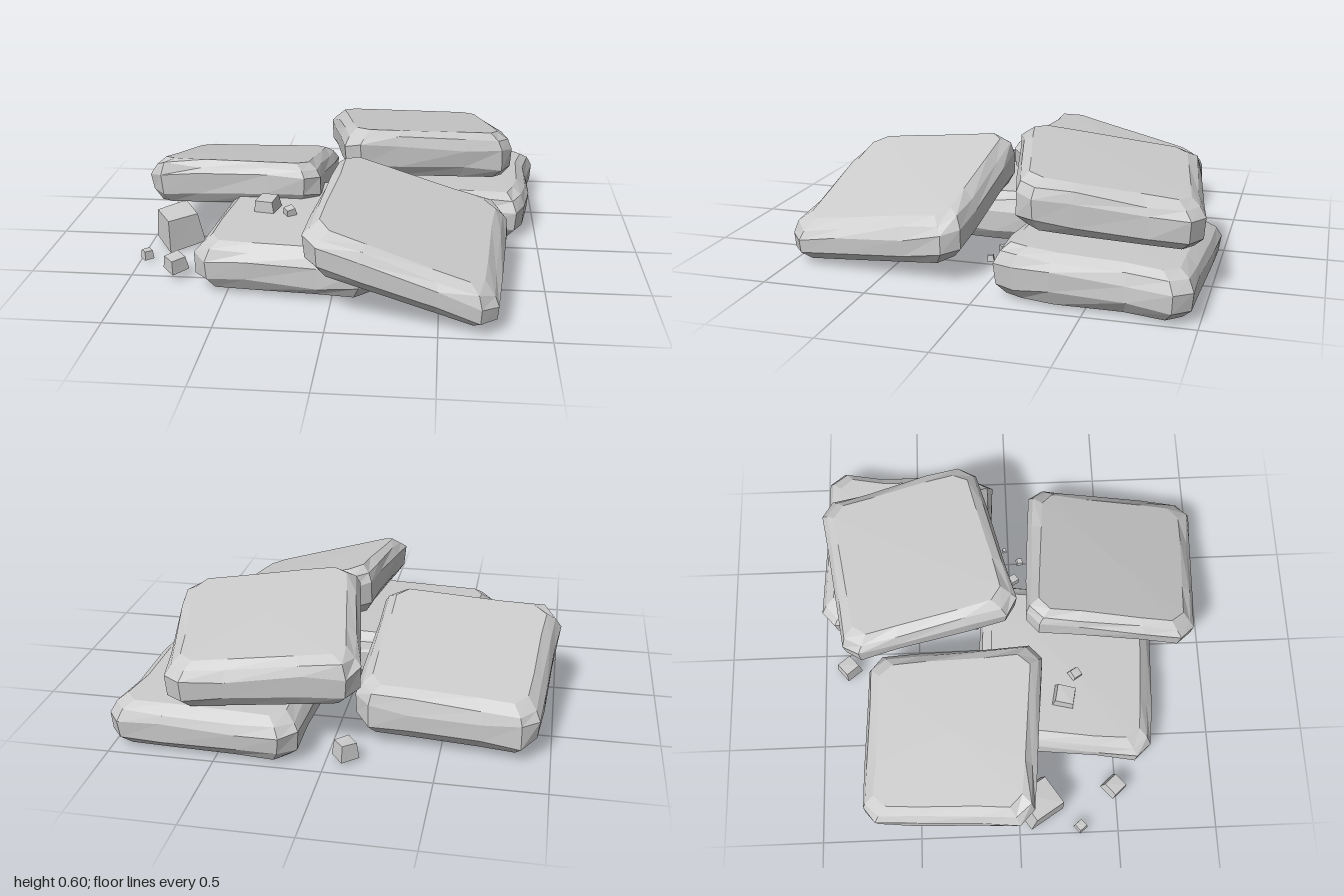
import * as THREE from 'three';

const material = new THREE.MeshStandardMaterial({ color: 0xcccccc, flatShading: true });

function seeded(seed) {
  return () => {
    seed = (seed * 16807) % 2147483647;
    return seed / 2147483647;
  };
}

// Rings of a worn block: [height fraction, inset]
const RINGS = [[0, 0.05], [0.24, 0.005], [0.66, 0], [0.86, 0.025], [1, 0.075]];
const PER_EDGE = [0.08, 0.3, 0.7, 0.92];

// Chipped slab warped between four corners [x, z, bottom, top],
// listed back right, back left, front left, front right.
// dents maps a point of the outline to an extra inset.
function slab(name, corners, seed, dents = {}) {
  const rand = seeded(seed);
  const square = [[0, 0], [1, 0], [1, 1], [0, 1]];
  const outline = [];
  for (let e = 0; e < 4; e++) {
    const a = square[e], b = square[(e + 1) % 4];
    for (const t of PER_EDGE) outline.push([a[0] + (b[0] - a[0]) * t, a[1] + (b[1] - a[1]) * t]);
  }
  const n = outline.length;

  const warp = (u, v, w) => {
    const weights = [(1 - u) * (1 - v), u * (1 - v), u * v, (1 - u) * v];
    const p = [0, 0, 0];
    corners.forEach(([x, z, low, high], i) => {
      p[0] += weights[i] * x;
      p[1] += weights[i] * (low + (high - low) * w);
      p[2] += weights[i] * z;
    });
    return p;
  };

  const positions = [];
  for (const [w, inset] of RINGS) {
    outline.forEach(([u, v], i) => {
      const k = 1 - 2 * (inset + (dents[i] || 0) + rand() * 0.012);
      const wobble = w > 0 && w < 1 ? (rand() - 0.5) * 0.12 : 0;
      positions.push(...warp(0.5 + (u - 0.5) * k, 0.5 + (v - 0.5) * k, w + wobble));
    });
  }
  const low = RINGS.length * n, high = low + 1;
  positions.push(...warp(0.5, 0.5, 0), ...warp(0.5, 0.5, 1.02));

  const index = [];
  for (let i = 0; i < n; i++) {
    const j = (i + 1) % n;
    for (let r = 0; r < RINGS.length - 1; r++) {
      const a = r * n, b = a + n;
      index.push(a + j, a + i, b + i, a + j, b + i, b + j);
    }
    const top = (RINGS.length - 1) * n;
    index.push(low, i, j, high, top + j, top + i);
  }
  return finish(name, positions, index);
}

function finish(name, positions, index) {
  const geometry = new THREE.BufferGeometry();
  geometry.setAttribute('position', new THREE.Float32BufferAttribute(positions, 3));
  geometry.setIndex(index);
  geometry.computeVertexNormals();
  const mesh = new THREE.Mesh(geometry, material);
  mesh.name = name;
  return mesh;
}

// Small broken cube, narrower towards the top
function pebble(name, x, y, z, width, height, turn, tilt = 0) {
  const geometry = new THREE.BoxGeometry(width, height, width);
  const p = geometry.attributes.position;
  for (let i = 0; i < p.count; i++) {
    const k = p.getY(i) > 0 ? 0.82 : 1;
    const skew = p.getX(i) * p.getZ(i) > 0 ? 0.94 : 1;
    p.setXYZ(i, p.getX(i) * k * skew, p.getY(i) * skew, p.getZ(i) * k);
  }
  geometry.computeVertexNormals();
  const mesh = new THREE.Mesh(geometry, material);
  mesh.name = name;
  mesh.position.set(x, y, z);
  mesh.rotation.set(tilt, turn, tilt * 0.6);
  return mesh;
}

export function createModel() {
  const group = new THREE.Group();
  group.name = 'rubblePile';

  // Large slabs leaning on each other
  group.add(
    slab('rightSlab', [
      [-0.94, -0.79, 0.02, 0.25], [-0.09, -0.75, 0.05, 0.28],
      [-0.11, 0.16, 0.26, 0.47], [-1.02, 0.07, 0.21, 0.45]], 11),
    slab('topSlab', [
      [-0.16, -0.85, 0.25, 0.48], [0.72, -0.99, 0.22, 0.43],
      [0.88, -0.17, 0.31, 0.55], [0.01, 0.05, 0.38, 0.62]], 23),
    slab('middleSlab', [
      [-0.56, -0.21, 0.04, 0.28], [0.3, -0.16, 0.04, 0.29],
      [0.21, 0.75, 0.02, 0.25], [-0.67, 0.68, 0.02, 0.25]], 37),
    slab('frontSlab', [
      [-0.03, 0.06, 0.29, 0.56], [0.84, 0.12, 0.09, 0.31],
      [0.76, 1.01, 0.0, 0.18], [-0.12, 0.92, 0.24, 0.46]], 51),
    slab('backSlab', [
      [0.12, -1.01, 0.01, 0.22], [1.03, -0.97, 0.01, 0.22],
      [0.96, -0.07, 0.01, 0.25], [0.08, -0.1, 0.01, 0.25]], 67, { 5: 0.03, 6: 0.01, 7: 0.03 })
  );

  // Loose fragments: x, y, z, width, height, turn, tilt
  const fragments = [
    [-0.85, 0.1, 0.1, 0.2, 0.17, 0.6, 0.1],
    [-0.78, 0.07, 0.49, 0.095, 0.07, 0.75, 0.1],
    [-0.97, 0.025, 0.31, 0.052, 0.045, 0.7, 0],
    [-0.36, 0.29, 0.25, 0.11, 0.08, -0.2, 0.1],
    [-0.24, 0.28, 0.31, 0.055, 0.05, 0.6, 0.15],
    [-0.085, 0.05, -0.87, 0.095, 0.08, 0.7, 0],
    [0.39, 0.04, 0.02, 0.05, 0.045, 0.6, 0.1],
    [0.5, 0.03, 0.06, 0.034, 0.03, 0.2, 0.1],
    [0.57, 0.03, -0.02, 0.022, 0.02, 0.2, 0]
  ];
  fragments.forEach((f, i) => group.add(pebble(`fragment${i + 1}`, ...f)));

  return group;
}
